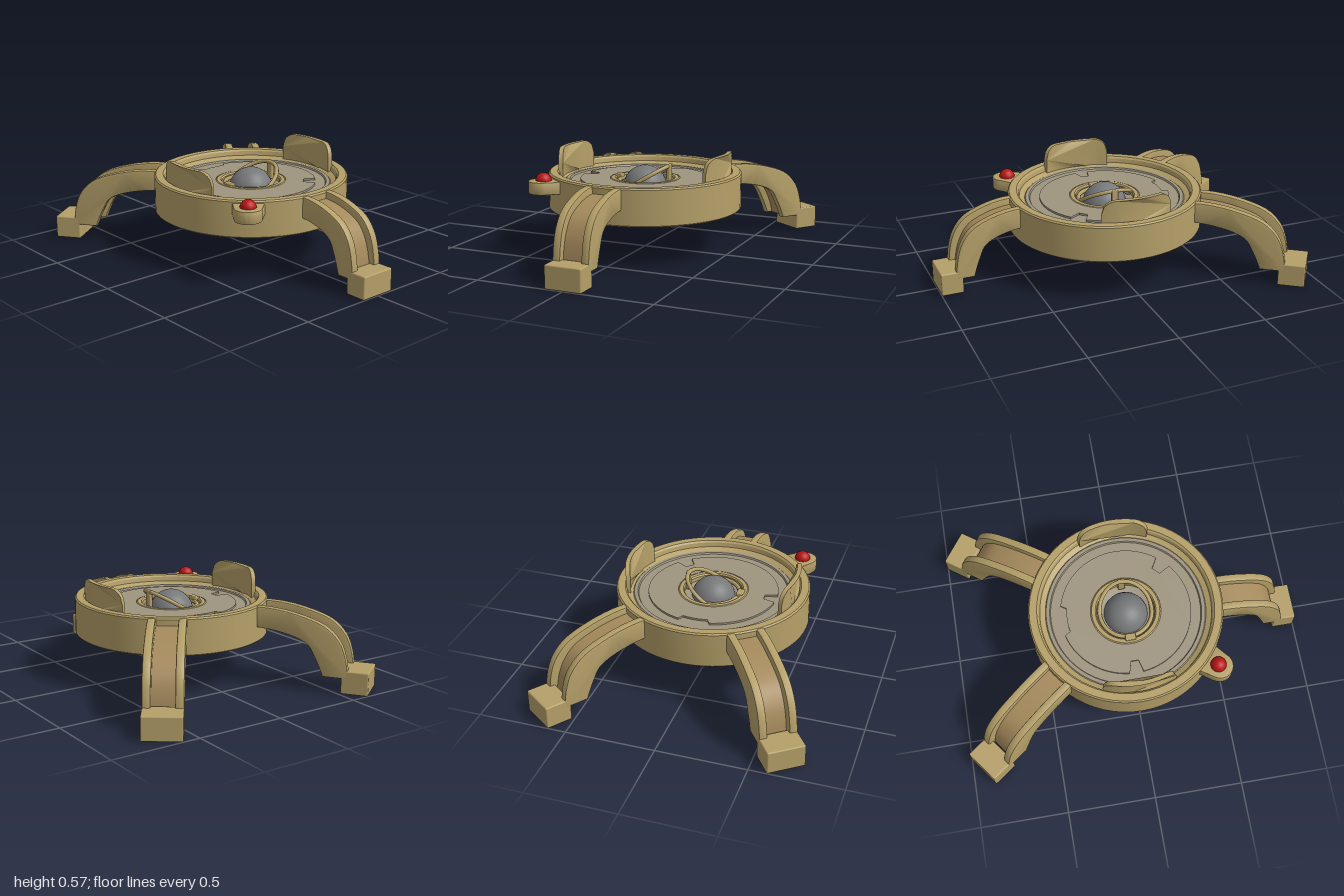
import * as THREE from 'three';
import { toCreasedNormals } from 'three/addons/utils/BufferGeometryUtils.js';
import { RoundedBoxGeometry } from 'three/addons/geometries/RoundedBoxGeometry.js';

const material = (color) => new THREE.MeshStandardMaterial({ color });
const tan = material(0xb5a069);
const brown = material(0xa58a5c);
const plateGrey = material(0x9f9580);
const darkPlate = material(0x857a5c);
const steel = material(0x77787a);
const red = material(0xb81414);

const vec = (pairs) => pairs.map(([x, y]) => new THREE.Vector2(x, y));

function add(parent, name, geometry, mat, x = 0, y = 0, z = 0) {
  const mesh = new THREE.Mesh(geometry, mat);
  mesh.name = name;
  mesh.position.set(x, y, z);
  parent.add(mesh);
  return mesh;
}

// Profiles run from the inner underside, around the outside, to the inner top
const lathe = (pairs) => toCreasedNormals(new THREE.LatheGeometry(vec(pairs), 64), 0.5);

function extrude(shape, depth, bevel = 0) {
  const geometry = new THREE.ExtrudeGeometry(shape, {
    depth: depth - 2 * bevel, curveSegments: 24, bevelEnabled: bevel > 0,
    bevelSize: bevel, bevelThickness: bevel, bevelOffset: -bevel, bevelSegments: 2,
  });
  geometry.translate(0, 0, bevel);
  return toCreasedNormals(geometry, 0.6);
}

// Arched leg along +x: two rails, a recessed web between them and a foot block
const OUTER = [[0.52, 0.447], [0.6, 0.443], [0.7, 0.42], [0.81, 0.37], [0.875, 0.29], [0.905, 0.19], [0.915, 0.085]];
const INNER = [[0.52, 0.33], [0.6, 0.32], [0.685, 0.295], [0.745, 0.255], [0.775, 0.19], [0.795, 0.135], [0.81, 0.085]];

function makeLeg(name, angle, reach, footDepth) {
  const leg = new THREE.Group();
  leg.name = name;
  const stretch = (reach - 0.5) / 0.5;
  const edge = (t) => new THREE.SplineCurve(vec(OUTER.map(([x, y], i) => [
    0.5 + (x + (INNER[i][0] - x) * t - 0.5) * stretch,
    y + (INNER[i][1] - y) * t,
  ]))).getPoints(24);
  const band = (a, b) => new THREE.Shape([...edge(b), ...edge(a).reverse()]);

  const rail = extrude(band(0, 1), 0.045, 0.008);
  add(leg, 'legRailA', rail, tan, 0, 0, 0.06);
  add(leg, 'legRailB', rail, tan, 0, 0, -0.105);
  add(leg, 'legWeb', extrude(band(0.32, 0.75), 0.13), brown, 0, 0, -0.065);
  add(leg, 'foot', new RoundedBoxGeometry(footDepth, 0.13, 0.21, 2, 0.008), tan, reach - footDepth / 2, 0.065, 0);
  leg.rotation.y = angle;
  return leg;
}

// Upright flap with rounded top corners, bent around the ring
function makeFlap() {
  const top = [];
  const bottom = [];
  for (let i = 0; i <= 32; i++) {
    const u = -0.2 + 0.4 * i / 32;
    const t = Math.min(1, Math.max(0, Math.abs(u) - 0.12) / 0.08);
    top.push([u, 0.57 - 0.08 * (1 - Math.sqrt(1 - t * t))]);
    bottom.push([u, 0.4]);
  }
  const geometry = new THREE.ExtrudeGeometry(new THREE.Shape(vec([...bottom, ...top.reverse()])), {
    depth: 0.025, bevelEnabled: false,
  });
  const p = geometry.attributes.position;
  for (let i = 0; i < p.count; i++) {
    const angle = p.getX(i) / 0.47;
    const r = 0.47 + p.getZ(i);
    p.setXYZ(i, r * Math.cos(angle), p.getY(i), -r * Math.sin(angle));
  }
  return toCreasedNormals(geometry, 0.6);
}

// Raised inner plate with three notches cut into its rim
function makeNotchedPlate() {
  const notches = [[Math.PI / 2, 0.24, 0.335], [Math.PI, 0.1, 0.3], [Math.PI * 1.75, 0.12, 0.3]];
  const points = [];
  for (let i = 0; i < 180; i++) {
    const a = i / 180 * Math.PI * 2;
    const notch = notches.find(([c, half]) => Math.abs(a - c) < half);
    const r = notch ? notch[2] : 0.37;
    points.push([r * Math.cos(a), r * Math.sin(a)]);
  }
  const shape = new THREE.Shape(vec(points));
  shape.holes.push(new THREE.Path().absarc(0, 0, 0.2, 0, Math.PI * 2, true));
  return extrude(shape, 0.014).rotateX(-Math.PI / 2);
}

// Tilted ring around the ball that lifts on one side
class LiftedRing extends THREE.Curve {
  getPoint(t, target = new THREE.Vector3()) {
    const a = t * Math.PI * 2;
    const x = 0.148 * Math.cos(a);
    return target.set(x, 0.39 + 0.63 * Math.max(0, x), 0.148 * Math.sin(a));
  }
}

export function createModel() {
  const model = new THREE.Group();
  model.name = 'roundThreeLeggedBase';

  // Outer ring and recessed floor
  add(model, 'outerRing', lathe([
    [0.49, 0.30], [0.505, 0.24], [0.542, 0.24], [0.55, 0.248], [0.55, 0.442],
    [0.542, 0.45], [0.5, 0.45], [0.49, 0.44], [0.485, 0.415], [0.455, 0.4], [0.45, 0.385],
  ]), tan);
  add(model, 'underside', lathe([[0, 0.305], [0.5, 0.3]]), darkPlate);
  add(model, 'floorPlate', lathe([
    [0.46, 0.395], [0.45, 0.404], [0.43, 0.404], [0.425, 0.395], [0.2, 0.395], [0.195, 0.385], [0.13, 0.37], [0, 0.35],
  ]), plateGrey);
  add(model, 'notchedPlate', makeNotchedPlate(), plateGrey, 0, 0.392, 0);

  // Central ball with its collar, lifted ring and clasps
  add(model, 'centreBall', new THREE.SphereGeometry(0.126, 24, 16), steel, 0, 0.351, 0);
  add(model, 'ballCollar', lathe([
    [0.2, 0.38], [0.2, 0.402], [0.193, 0.408], [0.172, 0.408], [0.165, 0.4], [0.165, 0.375],
  ]), tan);
  add(model, 'liftedRing', new THREE.TubeGeometry(new LiftedRing(), 64, 0.012, 8, true), tan);
  add(model, 'ringPost', new RoundedBoxGeometry(0.022, 0.11, 0.04, 2, 0.006), tan, 0.15, 0.438, 0);
  add(model, 'ringClasp', new RoundedBoxGeometry(0.04, 0.035, 0.06, 2, 0.006), tan, -0.16, 0.4, 0);

  // Side flaps
  const flap = makeFlap();
  add(model, 'leftFlap', flap, tan);
  add(model, 'rightFlap', flap, tan).rotation.y = Math.PI;

  // Legs, the back pair reaching further
  const spread = 54 * Math.PI / 180;
  model.add(
    makeLeg('frontLeg', -Math.PI / 2, 1, 0.125),
    makeLeg('backLeftLeg', spread, 1.165, 0.15),
    makeLeg('backRightLeg', Math.PI - spread, 1.165, 0.15),
  );

  // Rounded bracket and signal lamp on the front right of the ring
  const lamp = new THREE.Group();
  lamp.name = 'signalLamp';
  const tab = new THREE.Shape();
  tab.moveTo(-0.1, -0.09);
  tab.lineTo(0.02, -0.075);
  tab.absarc(0.01, 0, 0.075, -Math.PI / 2, Math.PI / 2, false);
  tab.lineTo(-0.1, 0.09);
  add(lamp, 'lampBracket', extrude(tab, 0.07, 0.006).rotateX(-Math.PI / 2), tan, 0, 0.365, 0);
  add(lamp, 'lampBulb', new THREE.SphereGeometry(0.045, 20, 12), red, 0, 0.434, 0);
  lamp.position.set(-0.41, 0, 0.45);
  lamp.rotation.y = Math.atan2(-0.45, -0.41);
  model.add(lamp);

  return model;
}
